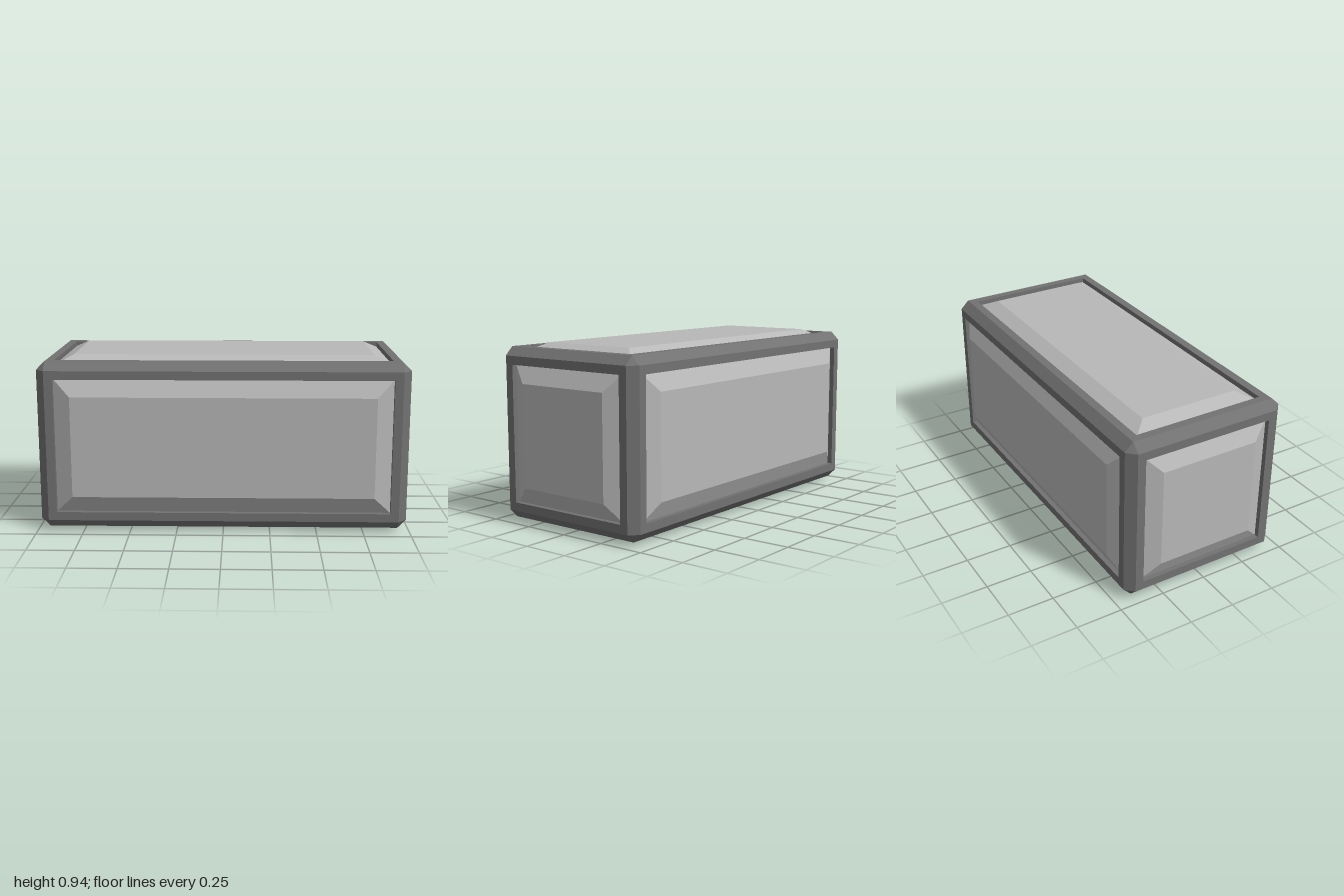
import * as THREE from 'three';

const HALF = [0.982, 0.45, 0.45]; // half sizes of the frame
const CHAMFER = 0.045, RIM = 0.09, BEVEL = 0.09;
const RECESS = 0.027, RAISE = 0.018;

// Point with coordinates given along axes k, k+1, k+2
function point(k, a, b, c) {
  const p = [0, 0, 0];
  p[k] = a; p[(k + 1) % 3] = b; p[(k + 2) % 3] = c;
  return p;
}

const quad = (out, a, b, c, d) => out.push(...a, ...b, ...c, ...a, ...c, ...d);

// Rectangle on the face (axis k, side s), inset from the frame edge and lifted
function ring(k, s, inset, lift) {
  const u = HALF[(k + 1) % 3] - inset, v = HALF[(k + 2) % 3] - inset, d = s * (HALF[k] + lift);
  return [[-1, -1], [1, -1], [1, 1], [-1, 1]].map(([a, b]) => point(k, d, s * a * u, b * v));
}

// Band of four quads from an outer rectangle to an inner one
function band(out, outer, inner) {
  for (let i = 0; i < 4; i++) {
    const j = (i + 1) % 4;
    quad(out, outer[i], outer[j], inner[j], inner[i]);
  }
}

function makeMesh(name, positions, material) {
  const geometry = new THREE.BufferGeometry();
  geometry.setAttribute('position', new THREE.Float32BufferAttribute(positions, 3));
  geometry.computeVertexNormals();
  const mesh = new THREE.Mesh(geometry, material);
  mesh.name = name;
  return mesh;
}

export function createModel() {
  const frameGrey = new THREE.MeshStandardMaterial({ color: 0x727272 });
  frameGrey.name = 'darkGrey';
  const panelGrey = new THREE.MeshStandardMaterial({ color: 0xb8b8b8 });
  panelGrey.name = 'lightGrey';

  const group = new THREE.Group();
  group.name = 'panelledBlock';
  const body = new THREE.Group();
  body.name = 'body';
  body.position.y = HALF[1] + RAISE;
  group.add(body);

  const frame = [];
  const names = [['leftPanel', 'rightPanel'], ['topPanel', 'bottomPanel'], ['frontPanel', 'backPanel']];
  for (let k = 0; k < 3; k++) {
    // Flat rims, recess walls and raised bevelled panels
    [1, -1].forEach((s, side) => {
      const opening = ring(k, s, RIM, 0), base = ring(k, s, RIM, -RECESS);
      const top = ring(k, s, RIM + BEVEL, RAISE);
      band(frame, ring(k, s, CHAMFER, 0), opening);
      band(frame, opening, base);
      const panel = [];
      band(panel, base, top);
      quad(panel, ...top);
      body.add(makeMesh(names[k][side], panel, panelGrey));
    });

    // Chamfered edges running along axis k
    const w = HALF[k] - CHAMFER, u = HALF[(k + 1) % 3], v = HALF[(k + 2) % 3];
    for (const su of [1, -1]) for (const sv of [1, -1]) {
      const corners = [
        point(k, -w, su * (u - CHAMFER), sv * v), point(k, w, su * (u - CHAMFER), sv * v),
        point(k, w, su * u, sv * (v - CHAMFER)), point(k, -w, su * u, sv * (v - CHAMFER)),
      ];
      quad(frame, ...(su * sv > 0 ? corners : corners.reverse()));
    }
  }

  // Triangular corner cuts
  for (const sx of [1, -1]) for (const sy of [1, -1]) for (const sz of [1, -1]) {
    const tri = [0, 1, 2].map((axis) =>
      [sx, sy, sz].map((s, i) => s * (HALF[i] - (i === axis ? 0 : CHAMFER))));
    if (sx * sy * sz < 0) tri.reverse();
    frame.push(...tri.flat());
  }
  body.add(makeMesh('frame', frame, frameGrey));
  return group;
}
